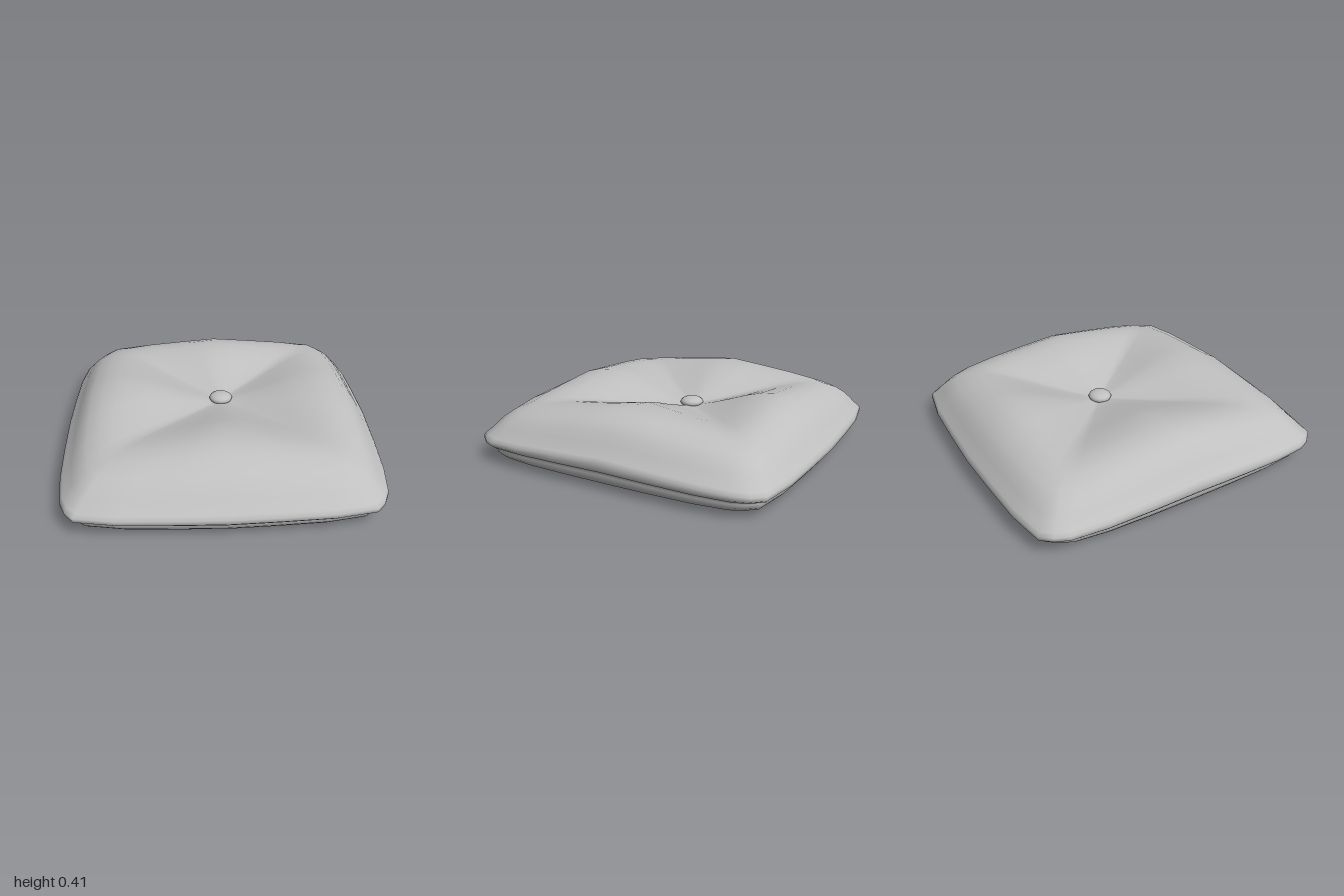
import * as THREE from 'three';
import { mergeVertices } from 'three/addons/utils/BufferGeometryUtils.js';

// Quarter outline from mid side (+x) over the corner to mid front (+z): x, z, corner weight
const QUARTER = [
  [0.955, 0, 0], [0.953, 0.3, 0.33], [0.945, 0.58, 0.65], [0.92, 0.79, 0.9], [0.885, 0.87, 1],
  [0.83, 0.935, 0.93], [0.6, 0.975, 0.66], [0.3, 0.99, 0.33], [0, 1, 0],
];

// Rings from the tufted centre over the rim to the underside:
// scale, height at mid x side, height at mid z side, height at corner
const RINGS = [
  [0, 0.265, 0.265, 0.265], [0.07, 0.272, 0.272, 0.268], [0.16, 0.295, 0.295, 0.278],
  [0.28, 0.33, 0.332, 0.294], [0.4, 0.37, 0.372, 0.312], [0.5, 0.396, 0.397, 0.328],
  [0.6, 0.408, 0.406, 0.34], [0.68, 0.409, 0.397, 0.341], [0.76, 0.398, 0.372, 0.328],
  [0.84, 0.366, 0.323, 0.294], [0.89, 0.32, 0.275, 0.256], [0.93, 0.265, 0.226, 0.215],
  [0.96, 0.218, 0.186, 0.178], [0.985, 0.197, 0.163, 0.155], [1, 0.175, 0.14, 0.135],
  [1, 0.135, 0.115, 0.112], [0.985, 0.115, 0.098, 0.098], [0.95, 0.1, 0.086, 0.086],
  [0.95, 0.08, 0.072, 0.07], [0.945, 0.05, 0.045, 0.045], [0.925, 0.024, 0.022, 0.025],
  [0.89, 0.013, 0.012, 0.016], [0.5, 0.004, 0.004, 0.008], [0, 0, 0, 0],
];

// Closed outline by mirroring the quarter around all four corners
function outline() {
  const pts = [];
  for (let q = 0; q < 4; q++) {
    const sx = q === 0 || q === 3 ? 1 : -1;
    const sz = q < 2 ? 1 : -1;
    const part = q % 2 ? [...QUARTER].reverse() : QUARTER;
    part.slice(0, -1).forEach(([x, z, w]) => pts.push([x * sx, z * sz, w, Math.abs(x) > Math.abs(z)]));
  }
  return pts;
}

function cushionGeometry() {
  const loop = outline(), n = loop.length, pos = [], index = [];
  RINGS.forEach(([r, yx, yz, yc], i) => {
    const tuft = i < 14 ? 1 - r : 0; // the tuft sits a little off centre
    loop.forEach(([x, z, w, onSide]) => {
      const mid = onSide ? yx : yz;
      pos.push(x * r + 0.02 * tuft, mid + (yc - mid) * w, z * r - 0.08 * tuft);
    });
    if (i === 0) return;
    for (let j = 0; j < n; j++) {
      const k = (j + 1) % n, a = (i - 1) * n, b = i * n;
      if (RINGS[i - 1][0] > 0) index.push(a + j, a + k, b + k);
      if (r > 0) index.push(a + j, b + k, b + j);
    }
  });
  // centre rings collapse to one point each; connect their fans
  for (let j = 0; j < n; j++) {
    const k = (j + 1) % n;
    index.push(j, n + k, n + j);
  }
  const raw = new THREE.BufferGeometry();
  raw.setAttribute('position', new THREE.Float32BufferAttribute(pos, 3));
  raw.setIndex(index);
  const geo = mergeVertices(raw, 1e-4);
  geo.computeVertexNormals();
  return geo;
}

export function createModel() {
  const group = new THREE.Group();
  group.name = 'cushion';
  const fabric = new THREE.MeshStandardMaterial({ color: 0xc0c0c0 });
  fabric.name = 'grey fabric';

  const body = new THREE.Mesh(cushionGeometry(), fabric);
  body.name = 'cushionBody';
  group.add(body);

  // Button pressed into the tuft
  const button = new THREE.Mesh(new THREE.SphereGeometry(1, 12, 8), fabric);
  button.name = 'button';
  button.scale.set(0.075, 0.035, 0.073);
  button.position.set(0.02, 0.28, -0.078);
  group.add(button);
  return group;
}
